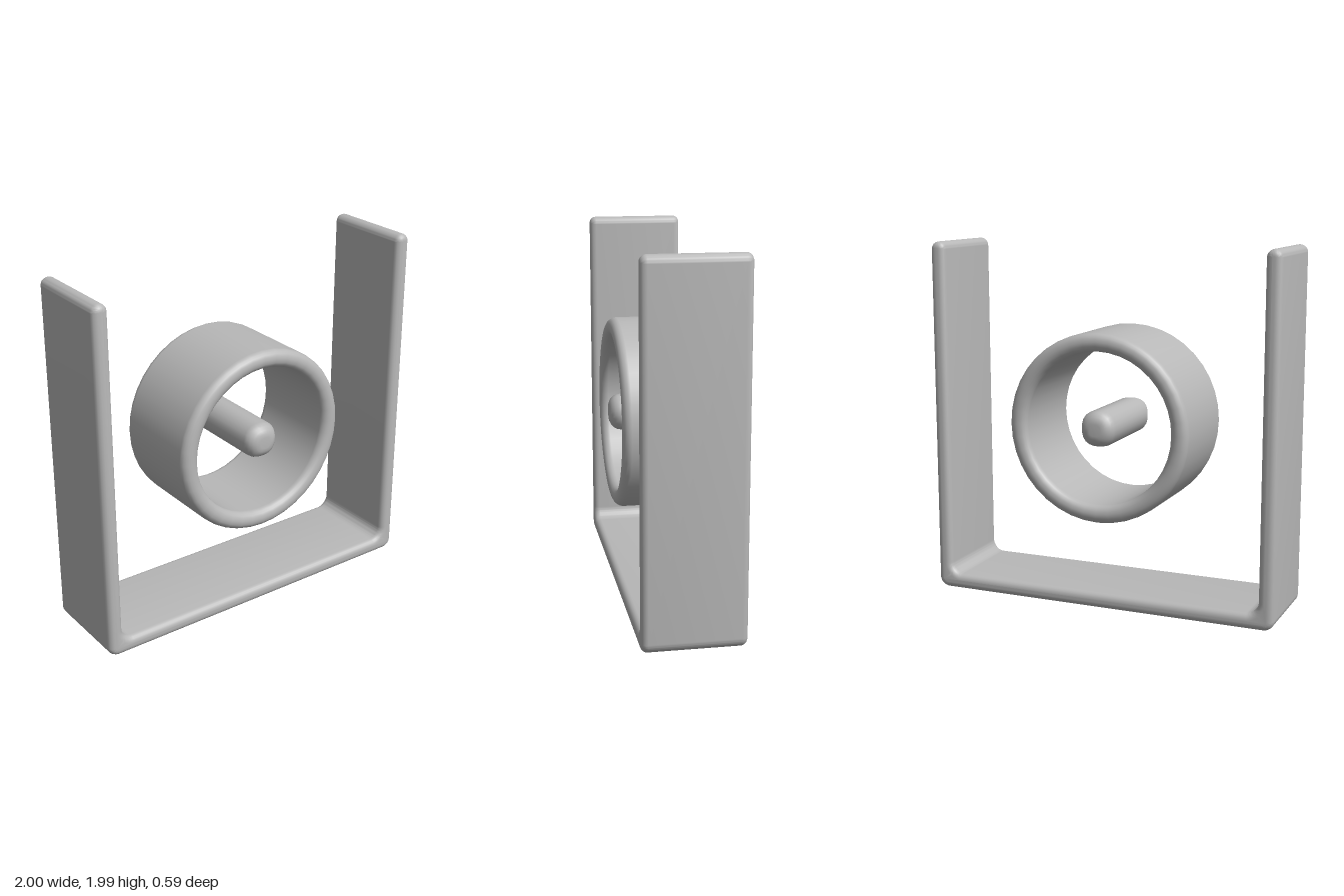
import * as THREE from 'three';
import { mergeVertices, toCreasedNormals } from 'three/addons/utils/BufferGeometryUtils.js';

const grey = new THREE.MeshStandardMaterial({ color: 0xb8b8b8 });
grey.name = 'plain grey';

function part(name, geometry) {
  const mesh = new THREE.Mesh(geometry, grey);
  mesh.name = name;
  return mesh;
}

// Quarter arc of a lathe profile, angles in quarter turns
function arc(cx, cy, r, from, to, n = 5) {
  return Array.from({ length: n + 1 }, (_, i) => {
    const a = (from + (to - from) * i / n) * Math.PI / 2;
    return new THREE.Vector2(cx + r * Math.cos(a), cy + r * Math.sin(a));
  });
}

// U-shaped strap: a thin core outline grown by a round bevel
function frameGeometry() {
  const b = 0.035, t = 0.086, top = 1.985, half = 0.272;
  const X = 1 - b, xi = 1 - t + b, lo = b, li = t - b; // core outline
  const tip = (X - xi) / 2, ro = 0.025, ri = 0.1, P = Math.PI;
  const yTip = top - b - tip;
  const s = new THREE.Shape();
  s.moveTo(-X + ro, lo);
  s.absarc(X - ro, lo + ro, ro, -P / 2, 0, false);
  s.absarc(X - tip, yTip, tip, 0, P, false);
  s.absarc(xi - ri, li + ri, ri, 0, -P / 2, true);
  s.absarc(-xi + ri, li + ri, ri, -P / 2, -P, true);
  s.absarc(-X + tip, yTip, tip, 0, P, false);
  s.absarc(-X + ro, lo + ro, ro, P, P * 1.5, false);
  const g = new THREE.ExtrudeGeometry(s, {
    depth: 2 * (half - b), bevelEnabled: true, bevelSize: b,
    bevelThickness: b, bevelSegments: 5, curveSegments: 8,
  });
  g.translate(0, 0, -(half - b));
  g.deleteAttribute('uv');
  g.deleteAttribute('normal');
  return toCreasedNormals(mergeVertices(g, 1e-5), 0.7);
}

// Hollow cylinder with rounded rims
function ringGeometry() {
  const R = 0.52, r = 0.42, h = 0.285, c = 0.045;
  const profile = [
    new THREE.Vector2(R, 0),
    ...arc(R - c, h - c, c, 0, 1), ...arc(r + c, h - c, c, 1, 2),
    ...arc(r + c, -h + c, c, 2, 3), ...arc(R - c, -h + c, c, 3, 4),
    new THREE.Vector2(R, 0),
  ];
  return new THREE.LatheGeometry(profile, 40).rotateX(Math.PI / 2);
}

// Pin with domed ends and a slightly squared section
function pinGeometry() {
  const R = 0.097, h = 0.293, c = 0.065;
  const profile = [
    new THREE.Vector2(0, -h), ...arc(R - c, -h + c, c, -1, 0),
    ...arc(R - c, h - c, c, 0, 1), new THREE.Vector2(0, h),
  ];
  const g = new THREE.LatheGeometry(profile, 24);
  const p = g.attributes.position;
  for (let i = 0; i < p.count; i++) {
    const x = p.getX(i), z = p.getZ(i);
    const k = 1 + 0.04 * (1 - Math.cos(4 * Math.atan2(z, x)));
    p.setX(i, x * k);
    p.setZ(i, z * k);
  }
  return g.rotateX(Math.PI / 2);
}

export function createModel() {
  const model = new THREE.Group();
  model.name = 'ring in open frame';
  const ring = part('ring', ringGeometry());
  const pin = part('centrePin', pinGeometry());
  ring.position.y = pin.position.y = 1.003;
  model.add(part('openFrame', frameGeometry()), ring, pin);
  return model;
}
